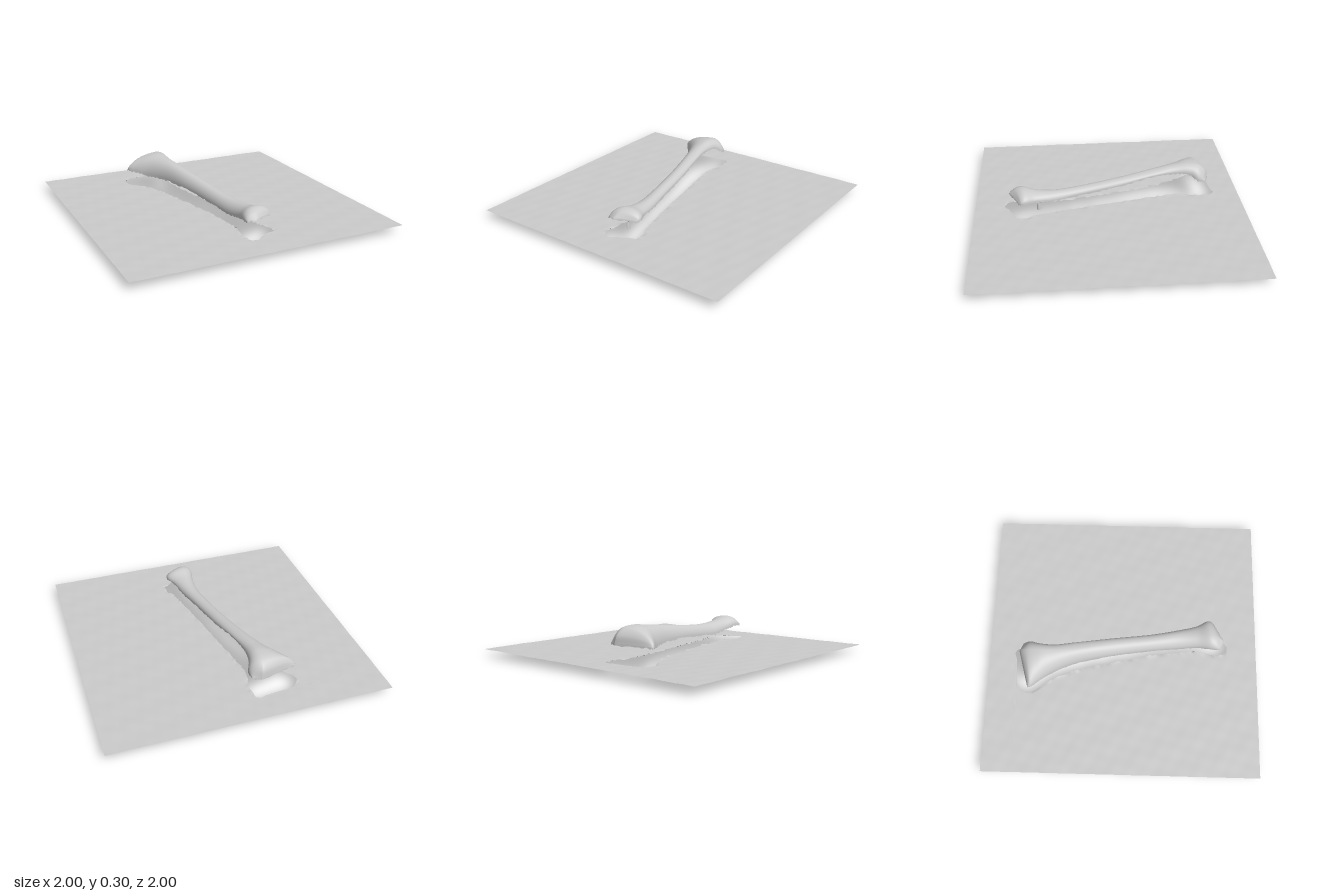
import * as THREE from 'three';

const material = new THREE.MeshStandardMaterial({ color: 0xcccccc, side: THREE.DoubleSide });

// Repeatable noise in -1..1
function noise(n) {
  const s = Math.sin(n * 127.1 + 11.7) * 43758.5453;
  return (s - Math.floor(s)) * 2 - 1;
}

// Smooth sheet from a grid of points; rows run along +z, columns along +x
function sheet(name, rows, cols, pointAt) {
  const position = [], index = [];
  for (let i = 0; i <= rows; i++) {
    for (let j = 0; j <= cols; j++) {
      position.push(...pointAt(i, j));
      if (i === rows || j === cols) continue;
      const a = i * (cols + 1) + j, b = a + cols + 1;
      index.push(a, b, a + 1, b, b + 1, a + 1);
    }
  }
  const geometry = new THREE.BufferGeometry();
  geometry.setAttribute('position', new THREE.Float32BufferAttribute(position, 3));
  geometry.setIndex(index);
  geometry.computeVertexNormals();
  const mesh = new THREE.Mesh(geometry, material);
  mesh.name = name;
  return mesh;
}

// Bone sections from head to foot: left rim, crest, right rim (x, y, z each)
const sections = [
  [-0.40, 0.17, -0.69, -0.13, 0.175, -0.765, -0.07, 0.18, -0.74],
  [-0.40, 0.17, -0.68, -0.14, 0.235, -0.75, -0.062, 0.185, -0.71],
  [-0.395, 0.17, -0.665, -0.15, 0.28, -0.70, -0.06, 0.19, -0.68],
  [-0.35, 0.16, -0.61, -0.155, 0.295, -0.61, -0.085, 0.23, -0.62],
  [-0.29, 0.15, -0.53, -0.15, 0.285, -0.50, -0.095, 0.24, -0.505],
  [-0.215, 0.155, -0.37, -0.13, 0.267, -0.35, -0.07, 0.235, -0.34],
  [-0.14, 0.15, -0.08, -0.07, 0.235, -0.08, -0.02, 0.195, -0.08],
  [-0.085, 0.13, 0.22, -0.02, 0.205, 0.22, 0.03, 0.165, 0.22],
  [-0.06, 0.12, 0.42, 0.02, 0.20, 0.42, 0.075, 0.15, 0.42],
  [-0.055, 0.14, 0.55, 0.025, 0.213, 0.55, 0.105, 0.165, 0.55],
  [-0.072, 0.165, 0.65, 0.02, 0.235, 0.64, 0.14, 0.175, 0.62],
  [-0.075, 0.165, 0.69, 0.01, 0.222, 0.69, 0.142, 0.17, 0.65],
  [-0.07, 0.165, 0.72, -0.01, 0.18, 0.745, 0.13, 0.165, 0.67],
];

// Arched shell, open underneath, with ragged rims
function createBone() {
  const [left, crest, right] = [0, 3, 6].map((k) =>
    new THREE.CatmullRomCurve3(sections.map((s) => new THREE.Vector3(s[k], s[k + 1], s[k + 2]))));
  const rows = 144, cols = 32;
  return sheet('boneShell', rows, cols, (i, j) => {
    const t = i / rows, angle = (j / cols) * Math.PI;
    const rim = (j <= cols / 2 ? left : right).getPoint(t);
    const top = crest.getPoint(t);
    const across = 1 - Math.abs(Math.cos(angle)), up = Math.sin(angle);
    const p = new THREE.Vector3().lerpVectors(rim, top, across);
    p.y = rim.y + (top.y - rim.y) * up;
    if (j === 0 || j === cols) p.y -= 0.012 * Math.abs(noise(i + j * 7));
    else if (i === 0 || i === rows) p.y -= 0.012 * Math.abs(noise(j + i * 3));
    return p.toArray();
  });
}

// Opening in the ground: z, left x, right x
const opening = [
  [-1, -0.105, -0.105], [-0.815, -0.105, -0.105], [-0.80, -0.15, -0.08], [-0.79, -0.25, -0.075],
  [-0.785, -0.34, -0.072], [-0.74, -0.40, -0.07], [-0.70, -0.41, -0.07], [-0.66, -0.40, -0.075],
  [-0.60, -0.355, -0.09], [-0.50, -0.29, -0.10], [-0.37, -0.235, -0.075], [-0.08, -0.16, -0.02],
  [0.22, -0.095, 0.035], [0.42, -0.065, 0.08], [0.55, -0.06, 0.11], [0.62, -0.07, 0.15],
  [0.69, -0.08, 0.15], [0.72, -0.085, 0.08], [0.75, -0.075, 0.02], [0.77, -0.06, 0.0],
  [0.785, -0.02, -0.02], [1, -0.02, -0.02],
];

function openingEdge(z, side) {
  let k = 0;
  while (k < opening.length - 2 && opening[k + 1][0] < z) k++;
  const a = opening[k], b = opening[k + 1];
  return THREE.MathUtils.lerp(a[side], b[side], (z - a[0]) / (b[0] - a[0]));
}

// Faint unevenness of the ground
function groundHeight(x, z) {
  return 0.056 + 0.0012 * Math.sin(17 * x + 9 * z) * Math.sin(21 * z - 8 * x + 1)
    + 0.0008 * Math.sin(43 * x - 19 * z) * Math.sin(33 * z + 14 * x);
}

// Two strips that meet beyond the ends of the opening
function createGround() {
  const ground = new THREE.Group();
  ground.name = 'ground';
  const zs = opening.map((o) => o[0]);
  for (let k = -49; k < 50; k++) {
    if (!zs.some((z) => Math.abs(z - k * 0.02) < 0.004)) zs.push(k * 0.02);
  }
  zs.sort((a, b) => a - b);
  const cols = 50;
  const strip = (name, side) => sheet(name, zs.length - 1, cols, (i, j) => {
    const z = zs[i], u = j / cols;
    let edge = openingEdge(z, side);
    const atHole = Math.abs(z) < 0.78;
    if (atHole) edge += 0.005 * noise(i + side * 50);
    const x = side === 1 ? THREE.MathUtils.lerp(-1, edge, u) : THREE.MathUtils.lerp(edge, 1, u);
    const lip = atHole && j === (side === 1 ? cols : 0) ? 0.006 * noise(i * 3 + side) : 0;
    return [x, groundHeight(x, z) + lip, z];
  });
  ground.add(strip('groundRight', 1), strip('groundLeft', 2));
  return ground;
}

// Small curled scrap hanging below the edge of the opening
function createScrap() {
  const geometry = new THREE.CylinderGeometry(0.012, 0.018, 0.055, 10, 2, true, 0.4, 4.2);
  const scrap = new THREE.Mesh(geometry, material);
  scrap.name = 'hangingScrap';
  scrap.position.set(-0.063, 0.0275, 0.53);
  return scrap;
}

export function createModel() {
  const model = new THREE.Group();
  model.name = 'boneOnGround';
  model.add(createGround(), createBone(), createScrap());
  return model;
}
